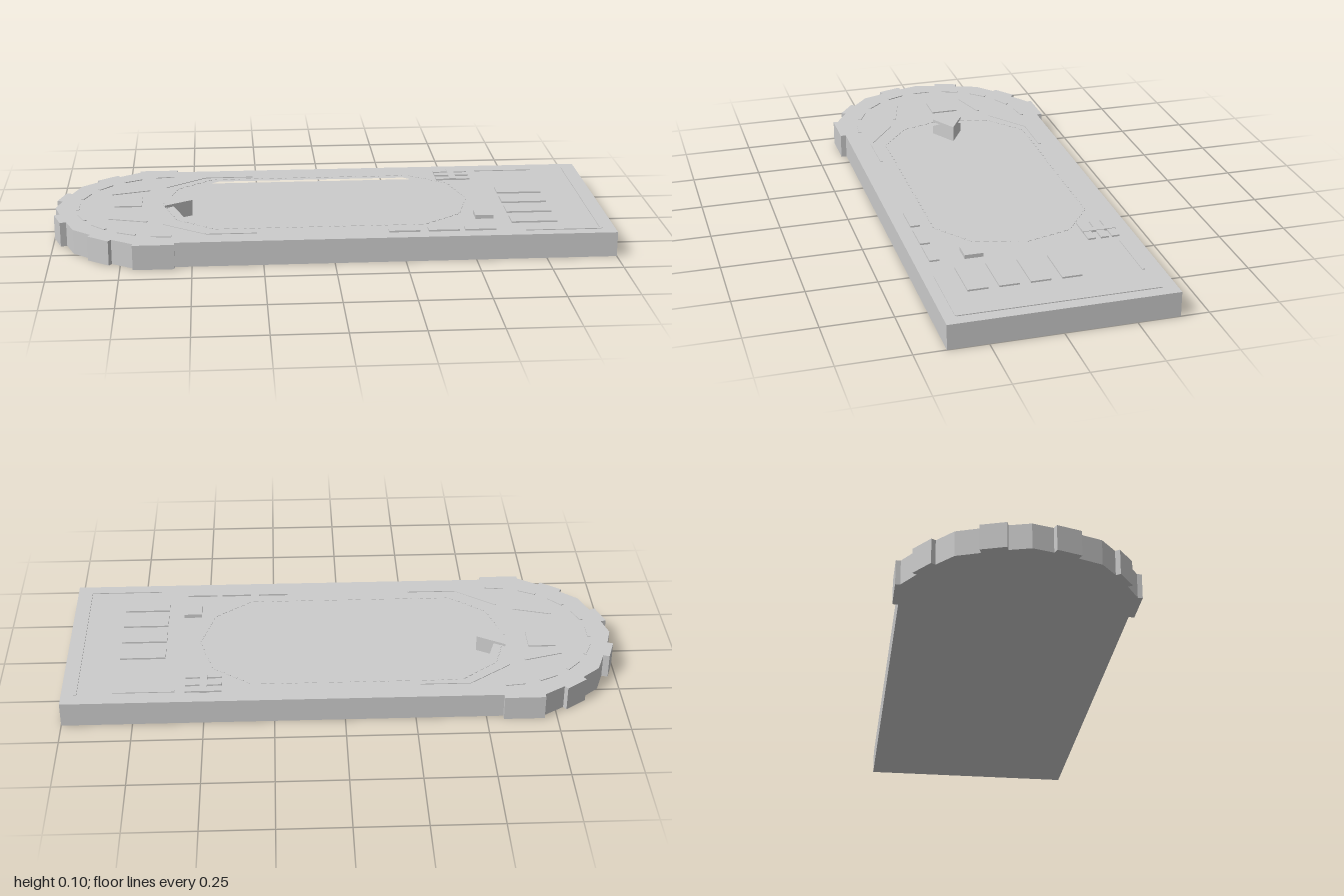
import * as THREE from 'three';

const TOP = 0.09, FLOOR = 0.04, MID = -0.005;

export function createModel() {
  const model = new THREE.Group();
  const material = new THREE.MeshStandardMaterial({ color: 0xcccccc, flatShading: true });

  const toPoints = (list) => list.map(([x, z]) => new THREE.Vector2(x, -z));

  // Upright prism from an [x, z] outline, with an optional hole
  function prism(name, outline, y0, y1, hole) {
    const shape = new THREE.Shape(toPoints(outline));
    if (hole) shape.holes.push(new THREE.Path(toPoints(hole)));
    const geo = new THREE.ExtrudeGeometry(shape, { depth: y1 - y0, bevelEnabled: false });
    geo.rotateX(-Math.PI / 2).translate(0, y0, 0);
    const mesh = new THREE.Mesh(geo, material);
    mesh.name = name;
    model.add(mesh);
  }

  // Low plate lying on the deck
  function plate(name, x, z, w, d, height) {
    const mesh = new THREE.Mesh(new THREE.BoxGeometry(w, height + 0.004, d), material);
    mesh.position.set(x, TOP + (height - 0.004) / 2, z);
    mesh.name = name;
    model.add(mesh);
    return mesh;
  }

  // Narrow raised line between two deck points
  function strip(name, [x1, z1], [x2, z2], width = 0.01, height = 0.003) {
    const length = Math.hypot(x2 - x1, z2 - z1);
    plate(name, (x1 + x2) / 2, (z1 + z2) / 2, length, width, height)
      .rotation.y = -Math.atan2(z2 - z1, x2 - x1);
  }

  // Notched round end: one half, mirrored across the long axis
  const half = [
    [1, 0.395], [-0.56, 0.395], [-0.56, 0.415], [-0.705, 0.415], [-0.705, 0.398],
    [-0.78, 0.35], [-0.79, 0.365], [-0.865, 0.31], [-0.855, 0.295], [-0.92, 0.24],
    [-0.95, 0.158], [-0.972, 0.165], [-1, 0.08], [-0.98, 0.073],
  ];
  const mirror = ([x, z]) => [x, 2 * MID - z];
  const outline = [
    ...half.map(([x, z]) => [x, z + MID]), [-1, MID],
    ...half.map(([x, z]) => mirror([x, z + MID])).reverse(),
  ];

  // Sunken basin in the deck
  const basin = [
    [-0.4, -0.272], [0.31, -0.272], [0.44, -0.177], [0.487, -0.018], [0.44, 0.14], [0.31, 0.235],
    [-0.4, 0.235], [-0.525, 0.14], [-0.575, -0.018], [-0.525, -0.177],
  ];
  prism('baseFloor', outline, 0, FLOOR);
  prism('deck', outline, FLOOR, TOP, basin);
  prism('pointer', [[-0.6, -0.09], [-0.5, -0.033], [-0.6, 0.025]], FLOOR, 0.1);

  // Dashed border following the basin
  const border = basin.map(([x, z]) => [-0.044 + (x + 0.044) * 1.06, -0.018 + (z + 0.018) * 1.1]);
  border.forEach((a, i) => {
    const b = border[(i + 1) % border.length];
    const n = Math.max(3, Math.round(Math.hypot(b[0] - a[0], b[1] - a[1]) / 0.03));
    const at = (t) => [a[0] + (b[0] - a[0]) * t, a[1] + (b[1] - a[1]) * t];
    for (let k = 0; k < n; k++) strip('basinDash', at((k + 0.2) / n), at((k + 0.8) / n), 0.005, 0.0015);
  });

  // Large panels, small hatch and row of side plates
  for (let i = 0; i < 4; i++) plate('panel', 0.725, -0.09 + i * 0.108, 0.165, 0.07, 0.006);
  plate('hatch', 0.552, 0.185, 0.065, 0.065, 0.014);
  for (const x of [0.25, 0.39, 0.52]) plate('sidePlate', x, 0.32, 0.11, 0.035, 0.006);

  // Vent bars with a cross bar
  for (const z of [-0.33, -0.29, -0.243]) plate('ventBar', 0.5, z, 0.13, 0.028, 0.006);
  plate('ventCrossBar', 0.5, -0.288, 0.025, 0.12, 0.008);

  // Edge lines at the square end
  strip('endLine', [0.95, -0.35], [0.95, 0.345]);
  strip('endLine', [0.68, 0.345], [0.95, 0.345]);
  strip('endLine', [0.6, -0.335], [0.82, -0.335]);

  // Lines and dashes around the round end
  plate('roundEndPanel', -0.735, -0.045, 0.1, 0.1, 0.005);
  for (const m of [(p) => p, mirror]) {
    strip('guideLine', m([-0.27, 0.31]), m([-0.45, 0.31]));
    strip('guideLine', m([-0.45, 0.31]), m([-0.6, 0.2]), 0.006, 0.002);
    strip('guideLine', m([-0.66, 0.17]), m([-0.8, 0.13]));
  }
  for (let i = 0; i < 9; i++) {
    const at = (t) => [-0.56 - 0.36 * Math.cos(t), MID + 0.335 * Math.sin(t)];
    const t = (i - 4) * 0.36;
    strip('rimDash', at(t - 0.1), at(t + 0.1), 0.012);
  }
  return model;
}
